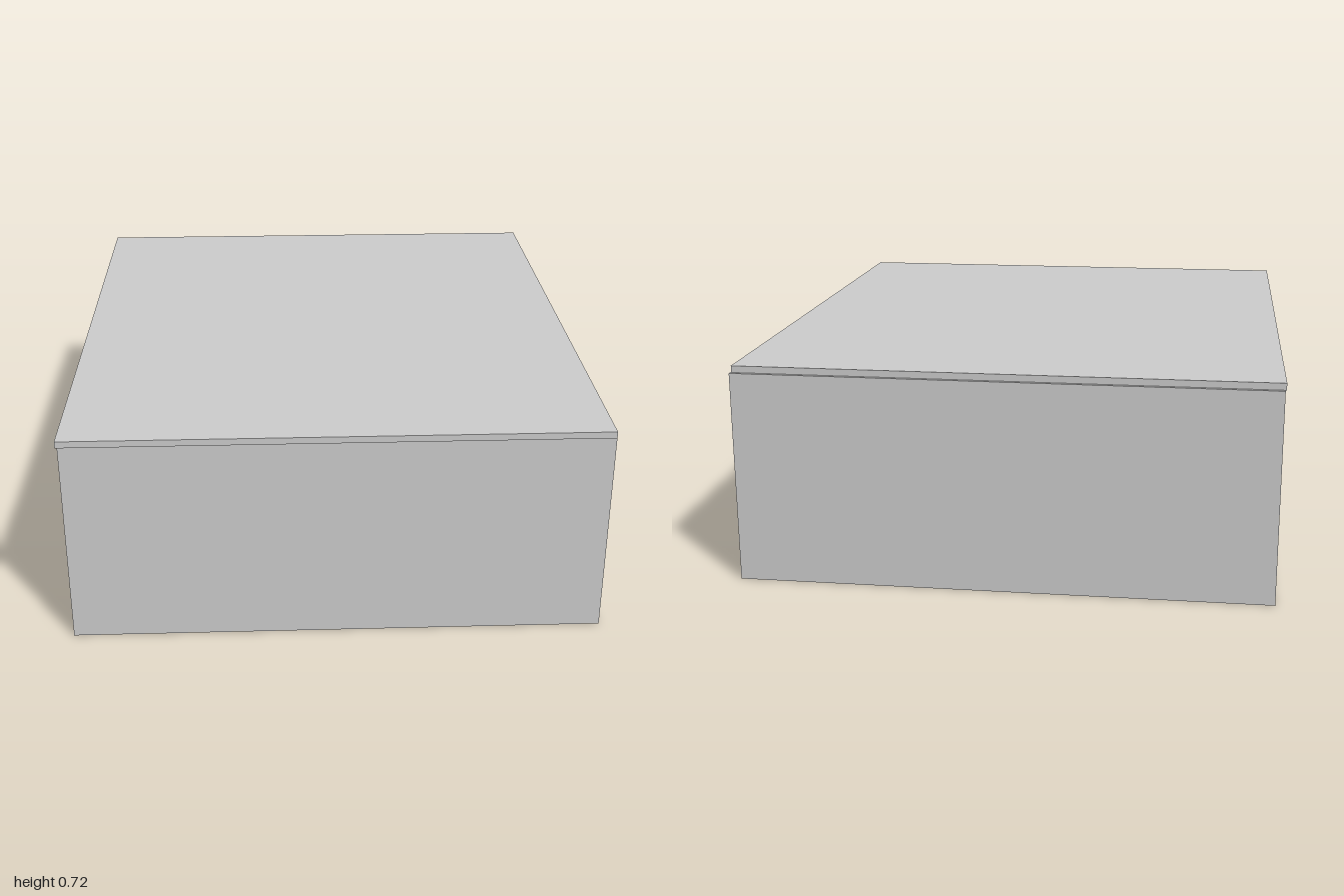
import * as THREE from 'three';

const WALL_H = 0.7;
const THICK = 0.025;

export function createModel() {
  const group = new THREE.Group();
  const material = new THREE.MeshStandardMaterial({ color: 0xcccccc, flatShading: true });

  const add = (name, geometry, x, y, z) => {
    const mesh = new THREE.Mesh(geometry, material);
    mesh.name = name;
    mesh.position.set(x, y, z);
    group.add(mesh);
    return mesh;
  };

  // Side wall along z with one rectangular opening; xInner/xOuter follow from xMax
  const sideWall = (name, xMax, [z0, z1, y0, y1]) => {
    const shape = new THREE.Shape();
    shape.moveTo(-0.975, 0).lineTo(0.96, 0).lineTo(0.96, WALL_H).lineTo(-0.975, WALL_H).closePath();
    const hole = new THREE.Path();
    hole.moveTo(z0, y0).lineTo(z0, y1).lineTo(z1, y1).lineTo(z1, y0).closePath();
    shape.holes.push(hole);
    const geometry = new THREE.ExtrudeGeometry(shape, { depth: THICK, bevelEnabled: false });
    geometry.rotateY(-Math.PI / 2); // shape x becomes z, depth runs towards -x
    return add(name, geometry, xMax, 0, 0);
  };

  // Left wall with doorway, right wall with wide window
  sideWall('doorWall', 0.868, [-0.135, 0.24, 0.015, 0.645]);
  sideWall('windowWall', -0.868 + THICK, [-0.49, 0.37, 0.16, 0.545]);

  // Solid end walls
  const endWall = () => new THREE.BoxGeometry(1.744, WALL_H, THICK);
  add('frontWall', endWall(), 0, WALL_H / 2, 0.985 - THICK / 2);
  add('backWall', endWall(), 0, WALL_H / 2, -1 + THICK / 2);

  // Flat roof slab, shifted slightly forward over the walls
  add('roof', new THREE.BoxGeometry(1.744, 0.022, 1.988), -0.004, WALL_H + 0.011, 0.006);

  return group;
}
